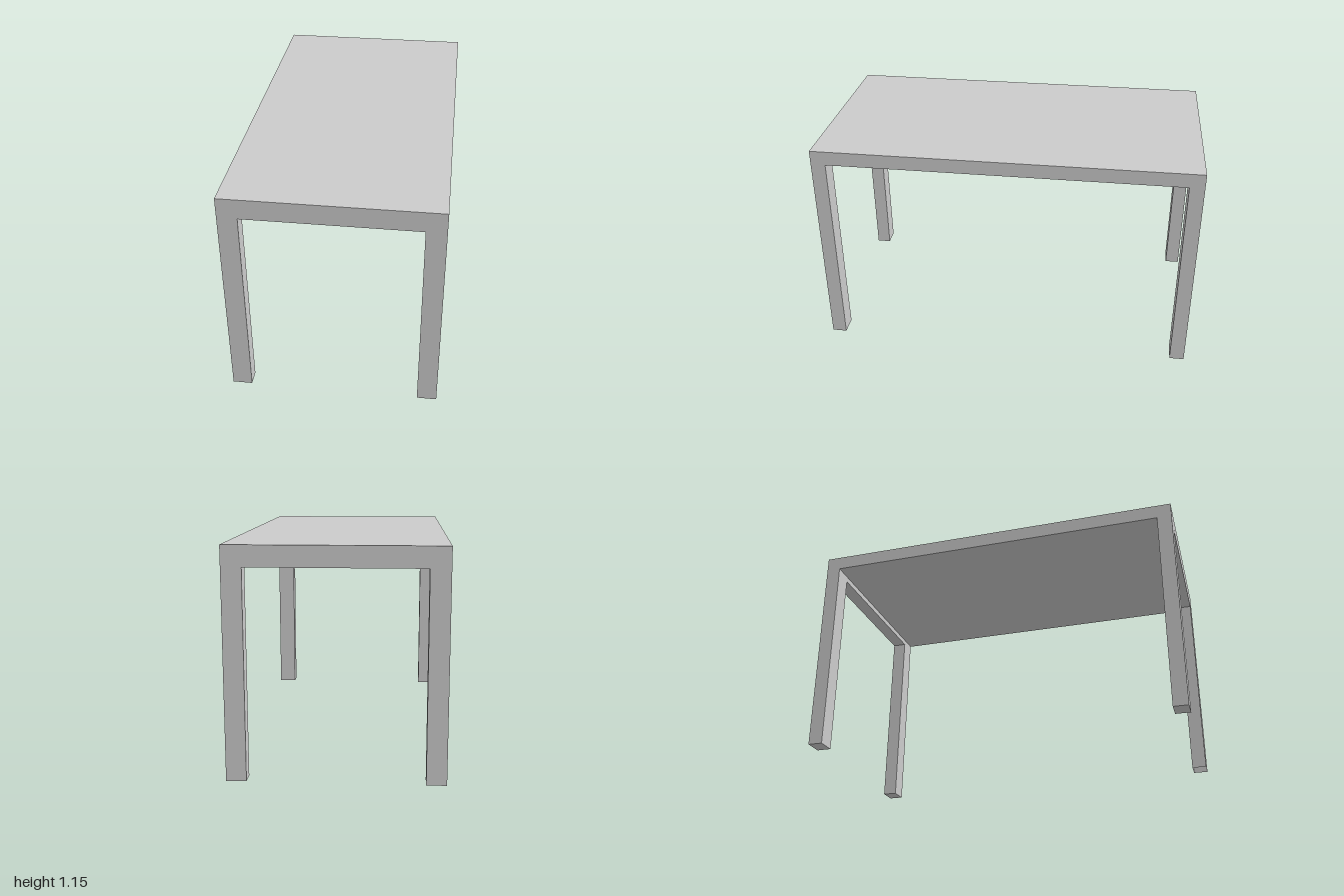
import * as THREE from 'three';

const HALF_X = 0.535, HALF_Z = 1, HEIGHT = 1.15;
const TOP = 0.075;              // tabletop thickness
const LEG_X = 0.1, LEG_Z = 0.077;
const RAIL_BOTTOM = 1.045;
const UNDER = HEIGHT - TOP;     // underside of the tabletop

const material = new THREE.MeshStandardMaterial({ color: 0xcccccc, flatShading: true });
const openMaterial = material.clone();
openMaterial.side = THREE.DoubleSide;

// Box standing on height y0
function block(name, w, h, d, x, y0, z) {
  const mesh = new THREE.Mesh(new THREE.BoxGeometry(w, h, d), material);
  mesh.name = name;
  mesh.position.set(x, y0 + h / 2, z);
  return mesh;
}

export function createModel() {
  const table = new THREE.Group();
  table.name = 'table';

  table.add(block('tabletop', HALF_X * 2, TOP, HALF_Z * 2, 0, UNDER, 0));

  for (const sz of [1, -1]) {
    const end = sz > 0 ? 'front' : 'back';
    const z = sz * (HALF_Z - LEG_Z / 2);

    // Rail under each short end, between the legs
    table.add(block(end + 'Rail', (HALF_X - LEG_X) * 2, UNDER - RAIL_BOTTOM, LEG_Z, 0, RAIL_BOTTOM, z));

    for (const sx of [1, -1]) {
      const leg = block(end + (sx > 0 ? 'Left' : 'Right') + 'Leg',
        LEG_X, UNDER, LEG_Z, sx * (HALF_X - LEG_X / 2), 0, z);
      // The front left leg is a hollow tube, open at the foot
      if (sx > 0 && sz > 0) {
        const index = Array.from(leg.geometry.index.array);
        index.splice(12, 12); // drop the top and bottom faces
        leg.geometry.setIndex(index);
        leg.geometry.clearGroups();
        leg.material = openMaterial;
      }
      table.add(leg);
    }
  }
  return table;
}
